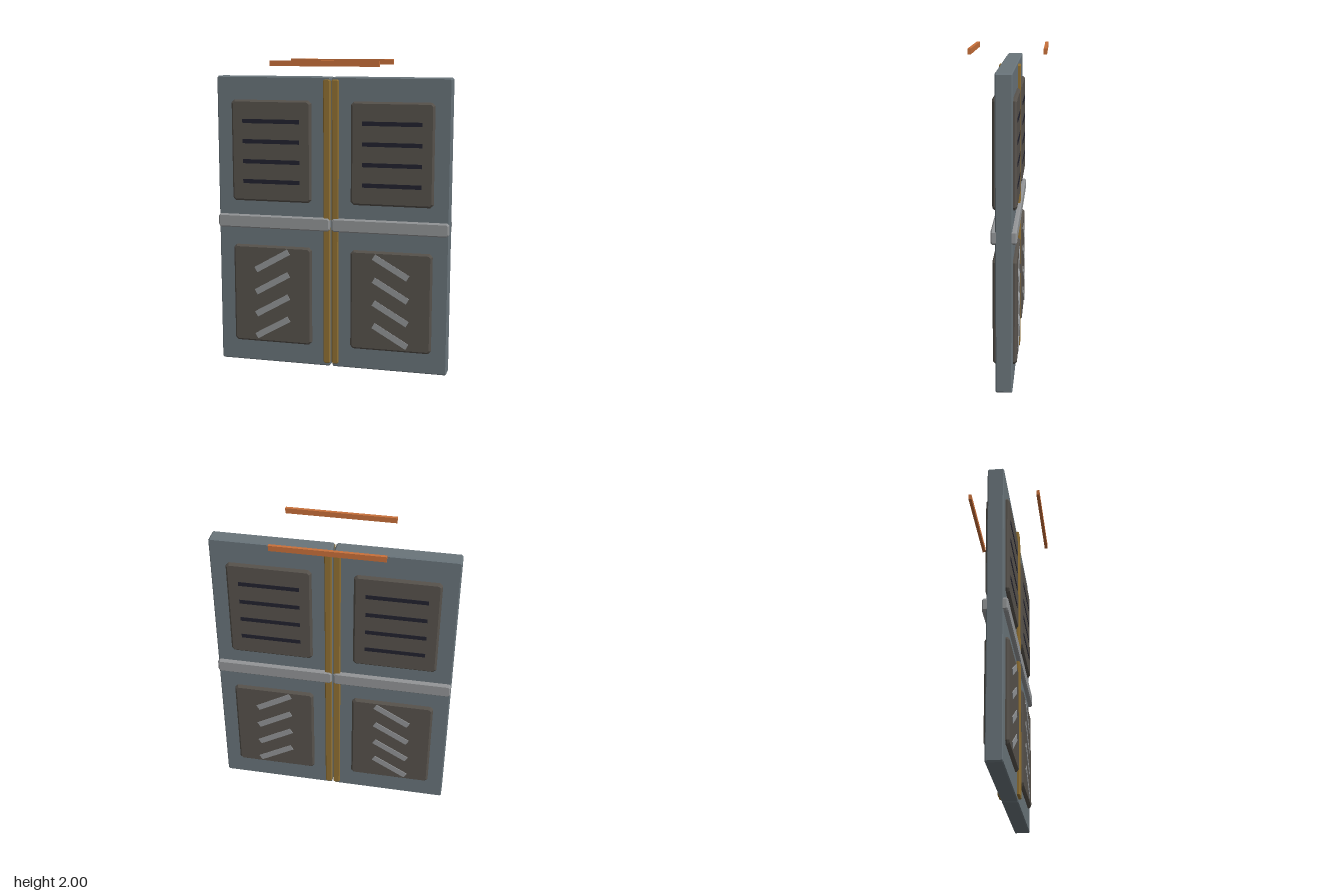
import * as THREE from 'three';

function material(name, color) {
  const m = new THREE.MeshStandardMaterial({ color });
  m.name = name;
  return m;
}

// Box with chamfered edges, centred on the origin
function chamferedBox(w, h, d, c, corner = c) {
  const x = w / 2 - c, y = h / 2 - c, k = corner;
  const shape = new THREE.Shape([
    [-x + k, -y], [x - k, -y], [x, -y + k], [x, y - k],
    [x - k, y], [-x + k, y], [-x, y - k], [-x, -y + k],
  ].map(([px, py]) => new THREE.Vector2(px, py)));
  const geo = new THREE.ExtrudeGeometry(shape, {
    depth: d - 2 * c, bevelEnabled: true, bevelThickness: c, bevelSize: c, bevelSegments: 1,
  });
  return geo.translate(0, 0, -d / 2 + c);
}

export function createModel() {
  const steel = material('blue grey steel', 0x69747a);
  const panelMat = material('brown grey panel', 0x57524c);
  const gold = material('dull gold', 0x907032);
  const silver = material('light grey metal', 0x939597);
  const dark = material('dark slot', 0x22222e);
  const orange = material('orange lamp', 0xc8703a);

  const model = new THREE.Group();
  model.name = 'doubleDoor';

  function add(parent, name, geo, mat, x, y, z, roll = 0) {
    const mesh = new THREE.Mesh(geo, mat);
    mesh.name = name;
    mesh.position.set(x, y, z);
    mesh.rotation.z = roll;
    parent.add(mesh);
  }

  const leafGeo = chamferedBox(0.754, 1.893, 0.1, 0.006);
  const panelGeo = chamferedBox(0.53, 0.655, 0.05, 0.012, 0.012);
  const sealGeo = chamferedBox(0.043, 1.855, 0.04, 0.005);
  const bandGeo = chamferedBox(0.754, 0.086, 0.04, 0.008);
  const slotGeo = new THREE.BoxGeometry(0.38, 0.027, 0.006);
  const slashGeo = new THREE.BoxGeometry(0.258, 0.04, 0.008);
  const lampGeo = new THREE.BoxGeometry(0.686, 0.034, 0.02);

  // Two door leaves
  for (const s of [1, -1]) {
    add(model, s > 0 ? 'leftLeaf' : 'rightLeaf', leafGeo, steel, s * 0.383, 0.9485, 0);
  }

  // The same trim on the front and, turned round, on the back
  for (const side of ['front', 'back']) {
    const face = new THREE.Group();
    face.name = side + 'Trim';
    if (side === 'back') face.rotation.y = Math.PI;
    model.add(face);

    for (const s of [1, -1]) {
      const cx = s * 0.395;
      add(face, 'upperPanel', panelGeo, panelMat, cx, 1.418, 0.047);
      add(face, 'lowerPanel', panelGeo, panelMat, cx, 0.468, 0.047);
      add(face, 'centreSeal', sealGeo, gold, s * 0.0275, 0.953, 0.048);
      add(face, 'crossBand', bandGeo, silver, s * 0.383, 0.954, 0.056);
      for (let i = 0; i < 4; i++) {
        add(face, 'ventSlot', slotGeo, dark, cx, 1.22 + i * 0.13, 0.071);
        add(face, 'slantedStripe', slashGeo, silver, cx, 0.244 + i * 0.151, 0.0725, -s * Math.PI / 6);
      }
    }

    // Lamp bar floating above the doorway
    add(face, 'lampBar', lampGeo, orange, 0, 1.983, 0.225);
  }
  return model;
}
